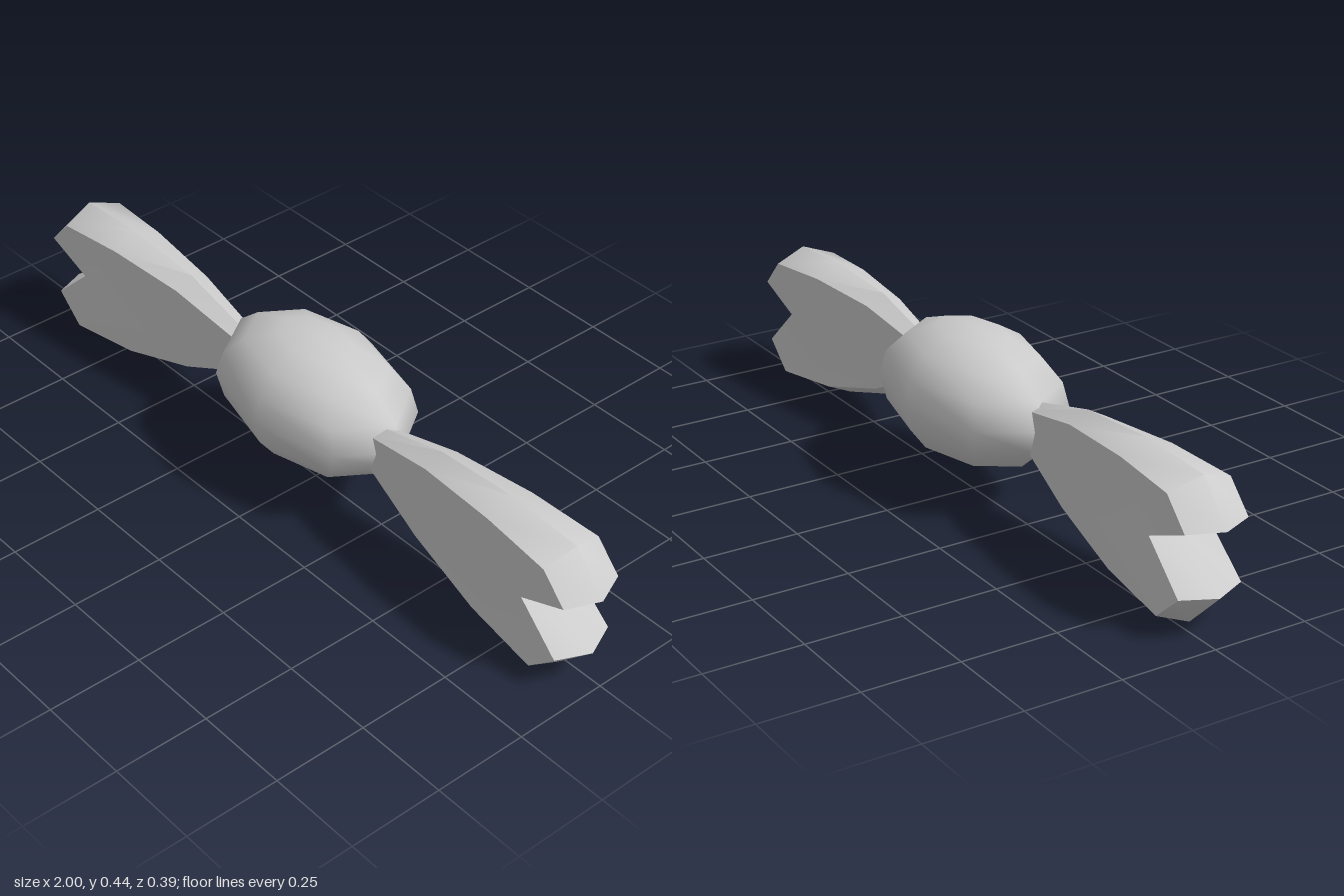
import * as THREE from 'three';
import { toCreasedNormals } from 'three/addons/utils/BufferGeometryUtils.js';

const material = new THREE.MeshStandardMaterial({ color: 0xcccccc });

// Outline of one wrapper end: the ridge runs round the middle, the rim borders the flat faces
const RIDGE = [[0.25, 0.32], [0.47, 0.375], [0.7, 0.388], [0.91, 0.375], [1, 0.272], [0.83, 0.217],
  [0.985, 0.105], [0.88, 0.003], [0.66, 0.03], [0.44, 0.1], [0.25, 0.198]];
const RIM = [[0.25, 0.305], [0.47, 0.348], [0.7, 0.357], [0.895, 0.345], [0.963, 0.272], [0.83, 0.217],
  [0.948, 0.108], [0.87, 0.037], [0.66, 0.06], [0.44, 0.125], [0.25, 0.212]];

// Wrapper end that thickens outward and closes in a notched tip
function wrapperEnd(side) {
  // Counter-clockwise outline; the -x end is mirrored and tilted slightly upward
  const place = (points) => {
    const out = points.map(([x, y]) => (side > 0 ? [x, y] : [-x, y + 0.012 * x]));
    return side > 0 ? out.reverse() : out;
  };
  const ridge = place(RIDGE), rim = place(RIM), n = rim.length;
  const half = (x) => 0.03 + 0.0565 * Math.min(1, (Math.abs(x) - 0.25) / 0.62);
  const centre = 0.018;
  const layers = [
    rim.map(([x, y]) => [x, y, centre - half(x)]),
    ridge.map(([x, y]) => [x, y, centre]),
    rim.map(([x, y]) => [x, y, centre + half(x)]),
  ];
  const positions = layers.flat(2);
  const index = [];
  // Bevelled edge on either side of the ridge
  for (let layer = 0; layer < 2; layer++) {
    for (let i = 0; i < n; i++) {
      const j = (i + 1) % n, a = layer * n, b = a + n;
      index.push(a + i, a + j, b + j, a + i, b + j, b + i);
    }
  }
  // Flat back and front faces
  const contour = rim.map(([x, y]) => new THREE.Vector2(x, y));
  for (const [a, b, c] of THREE.ShapeUtils.triangulateShape(contour, [])) {
    index.push(c, b, a, 2 * n + a, 2 * n + b, 2 * n + c);
  }
  const geometry = new THREE.BufferGeometry();
  geometry.setAttribute('position', new THREE.Float32BufferAttribute(positions, 3));
  geometry.setIndex(index);
  const mesh = new THREE.Mesh(toCreasedNormals(geometry, 0.9), material);
  mesh.name = side > 0 ? 'leftWrapperEnd' : 'rightWrapperEnd';
  return mesh;
}

export function createModel() {
  const model = new THREE.Group();
  model.name = 'wrappedCandy';

  // Faceted oval centre with smooth shading
  const body = new THREE.Mesh(new THREE.SphereGeometry(1, 8, 8), material);
  body.name = 'candyBody';
  body.scale.set(0.315, 0.172, 0.195);
  body.position.set(0, 0.268, 0);
  model.add(body);

  for (const side of [1, -1]) model.add(wrapperEnd(side));
  return model;
}
